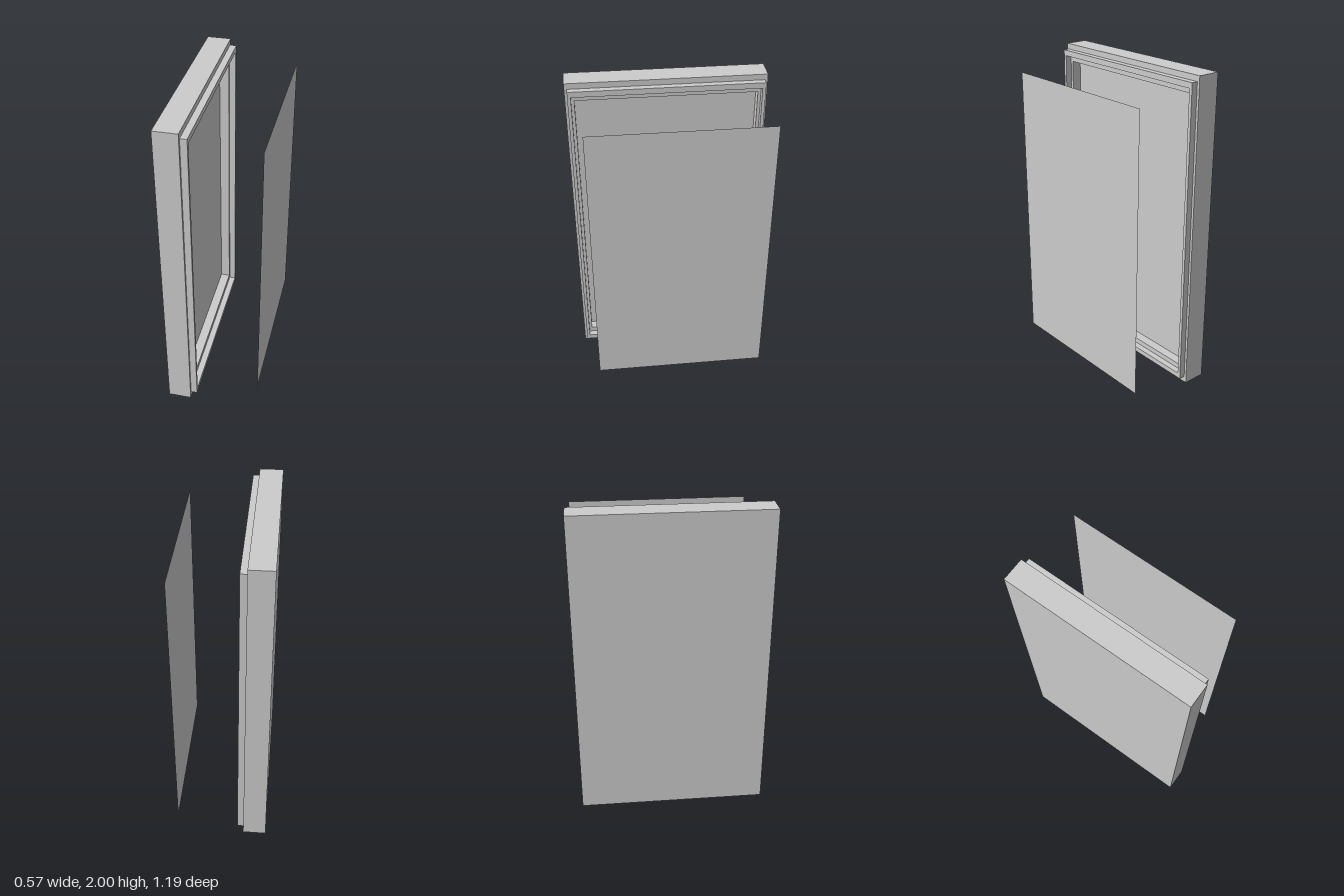
import * as THREE from 'three';

const material = new THREE.MeshStandardMaterial({ color: 0xcccccc, side: THREE.DoubleSide });

// Skin a series of rectangles [x, halfDepth, bottomY, topY], closed at both ends
function rectLoft(sections) {
  const rings = sections.map(([x, h, y0, y1]) => [
    [x, y0, h], [x, y0, -h], [x, y1, -h], [x, y1, h],
  ]);
  const pos = [];
  const quad = (a, b, c, d) => pos.push(...a, ...b, ...c, ...a, ...c, ...d);
  const first = rings[0], last = rings[rings.length - 1];
  quad(first[3], first[2], first[1], first[0]);
  for (let i = 0; i < rings.length - 1; i++) {
    for (let k = 0; k < 4; k++) {
      const n = (k + 1) % 4;
      quad(rings[i][k], rings[i][n], rings[i + 1][n], rings[i + 1][k]);
    }
  }
  quad(...last);
  const geometry = new THREE.BufferGeometry();
  geometry.setAttribute('position', new THREE.Float32BufferAttribute(pos, 3));
  geometry.computeVertexNormals();
  return geometry;
}

export function createModel() {
  const group = new THREE.Group();
  group.name = 'framedPanel';

  // Tray: outer case, raised lip, stepped rebate and recessed floor
  const backX = -0.285, caseX = -0.14, lipX = -0.1, floorX = -0.2;
  const tray = new THREE.Mesh(rectLoft([
    [backX, 0.593, 0, 2],
    [caseX, 0.593, 0, 2],
    [caseX, 0.577, 0.04, 1.965],
    [lipX, 0.577, 0.04, 1.965],
    [lipX, 0.557, 0.073, 1.93],
    [caseX, 0.557, 0.073, 1.93],
    [caseX, 0.539, 0.107, 1.89],
    [floorX, 0.539, 0.107, 1.89],
  ]), material);
  tray.name = 'frameTray';
  group.add(tray);

  // Thin sheet floating in front of the opening
  const sheet = new THREE.Mesh(new THREE.PlaneGeometry(1.08, 1.783), material);
  sheet.name = 'coverSheet';
  sheet.rotation.y = Math.PI / 2;
  sheet.position.set(0.285, 0.9985, -0.04);
  group.add(sheet);

  return group;
}
